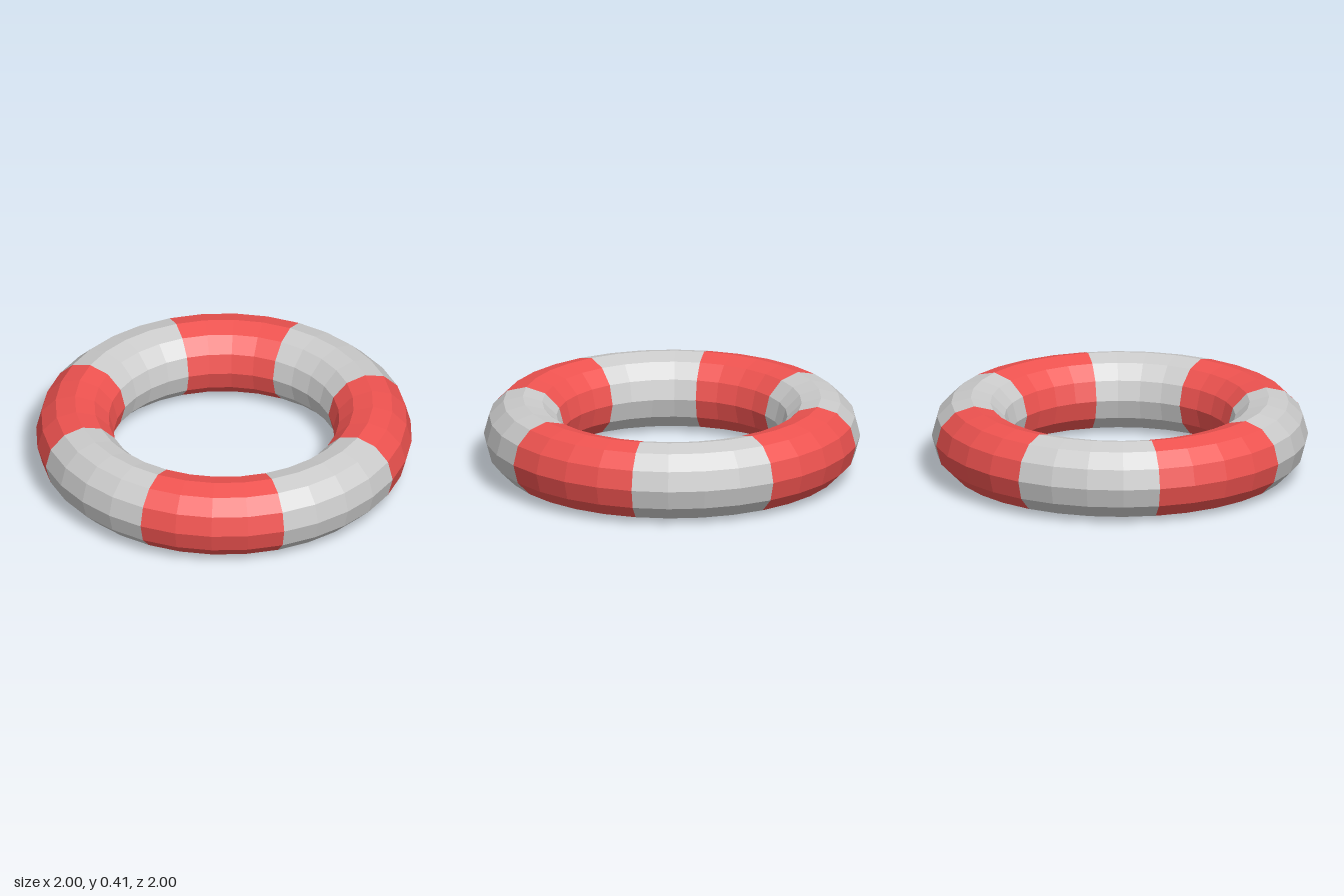
import * as THREE from 'three';

const RING = 0.793;  // centre line radius
const TUBE = 0.207;  // tube radius
const SECTIONS = 8;  // alternating grey and red bands

export function createModel() {
  const group = new THREE.Group();
  group.name = 'swimRing';
  const grey = new THREE.MeshStandardMaterial({ color: 0xcccccc, flatShading: true });
  const red = new THREE.MeshStandardMaterial({ color: 0xef5350, flatShading: true });
  const arc = (Math.PI * 2) / SECTIONS;

  // Each band is a 45 degree arc of the tube, laid flat on the ground
  for (let i = 0; i < SECTIONS; i++) {
    const isRed = i % 2 === 1;
    const geometry = new THREE.TorusGeometry(RING, TUBE, 12, 4, arc);
    geometry.rotateZ((i - 0.5) * arc);
    geometry.rotateX(-Math.PI / 2);
    geometry.translate(0, TUBE, 0);
    const band = new THREE.Mesh(geometry, isRed ? red : grey);
    band.name = (isRed ? 'redBand' : 'greyBand') + (Math.floor(i / 2) + 1);
    group.add(band);
  }
  return group;
}
